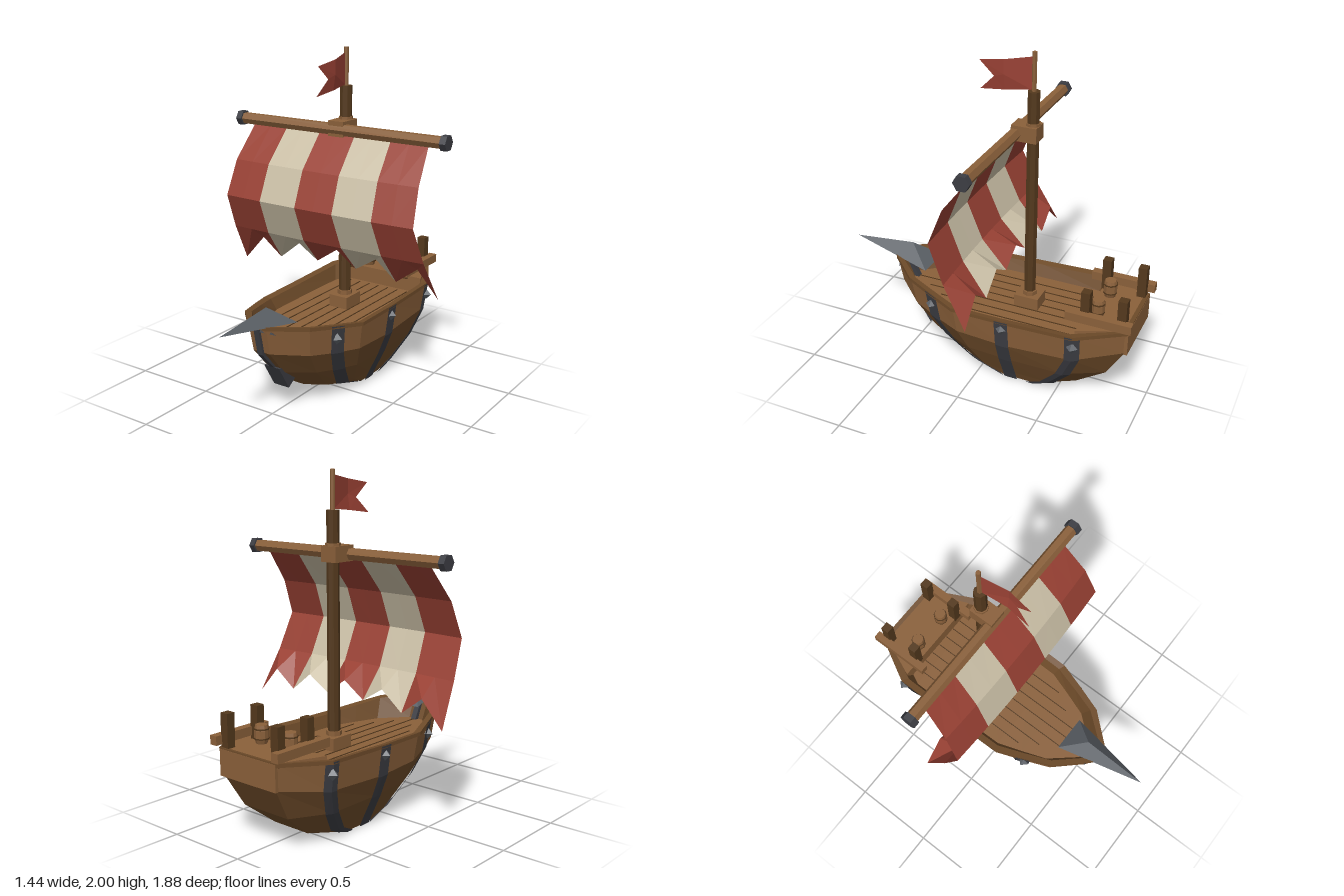
import * as THREE from 'three';

const mat = (name, color, side = THREE.FrontSide) => {
  const m = new THREE.MeshStandardMaterial({ color, flatShading: true, side });
  m.name = name;
  return m;
};

export function createModel() {
  const root = new THREE.Group();
  root.name = 'sailingShip';
  const wood = mat('wood', 0x8a603a);
  const hullWood = mat('hullWood', 0x6f4c2a);
  const darkWood = mat('darkWood', 0x54391d);
  const iron = mat('iron', 0x3d3e44, THREE.DoubleSide);
  const steel = mat('steel', 0x5c6167, THREE.DoubleSide);
  const red = mat('redCloth', 0x994134, THREE.DoubleSide);
  const cream = mat('creamCloth', 0xcabfa6, THREE.DoubleSide);

  const add = (name, geo, material, x = 0, y = 0, z = 0, parent = root) => {
    const m = new THREE.Mesh(geo, material);
    m.name = name;
    m.position.set(x, y, z);
    parent.add(m);
    return m;
  };
  const box = (name, material, w, h, d, x, y, z) =>
    add(name, new THREE.BoxGeometry(w, h, d), material, x, y, z);
  const cyl = (name, material, r, y0, y1, x, z, n = 8) =>
    add(name, new THREE.CylinderGeometry(r, r, y1 - y0, n), material, x, (y0 + y1) / 2, z);

  // Joins successive rows of points with quads
  const loft = (rows, closed) => {
    const pos = [];
    for (let r = 0; r + 1 < rows.length; r++) {
      const A = rows[r], B = rows[r + 1], n = A.length;
      for (let i = 0; i < (closed ? n : n - 1); i++) {
        const j = (i + 1) % n;
        pos.push(...A[i], ...A[j], ...B[i], ...A[j], ...B[j], ...B[i]);
      }
    }
    const g = new THREE.BufferGeometry();
    g.setAttribute('position', new THREE.Float32BufferAttribute(pos, 3));
    g.computeVertexNormals();
    return g;
  };

  // Hull stations at the rim: z, half width, height
  const stations = [
    [-0.91, 0.21, 0.54], [-0.64, 0.35, 0.52], [-0.21, 0.35, 0.505], [0.1, 0.345, 0.5],
    [0.27, 0.285, 0.525], [0.44, 0.22, 0.55], [0.62, 0.06, 0.575],
  ];
  // Hull levels below the rim: stern z, bow z, width scale, height, stern lift, bow lift
  const levels = [
    [-0.9, 0.585, 0.93, 0.32, 0.07, 0.09],
    [-0.79, 0.45, 0.79, 0.19, 0.01, 0.06],
    [-0.6, 0.24, 0.6, 0.05, 0, 0.04],
    [-0.44, -0.05, 0.54, 0, 0, 0],
  ];
  const mid = -0.21;
  const levelZ = ([zs, zb], z) =>
    z < mid ? mid + (z - mid) / -0.7 * (zs - mid) : mid + (z - mid) / 0.83 * (zb - mid);
  const side = stations.map(([z, w, y]) => [w, y, z]);
  const sides = [side, ...levels.map((l) => stations.map(([z, w]) => {
    const d = z < mid ? (mid - z) / 0.7 : (z - mid) / 0.83;
    return [w * l[2], l[3] + (z < mid ? l[4] : l[5]) * d ** 2, levelZ(l, z)];
  }))];
  const ring = (pts) => [...pts, ...pts.map(([x, y, z]) => [-x, y, z]).reverse()];
  const rings = sides.map(ring);
  const flat = (r) => r.map(([, y, z]) => [0, y, z]);
  const shrink = (r, s, y) => r.map(([x, yy, z]) => [x * s, y ?? yy, (z + 0.15) * (s + 0.04) - 0.15]);

  add('upperStrake', loft(rings.slice(0, 2), true), wood);
  add('lowerHull', loft([...rings.slice(1), flat(rings[4])], true), hullWood);
  const deckY = 0.43;
  const lip = rings[0].map(([x, y, z]) => [x * 1.03, y + 0.008, z + Math.sign(z) * 0.006]);
  const lipLow = lip.map(([x, y, z]) => [x, y - 0.022, z]);
  const inner = shrink(rings[0], 0.92);
  const deck = shrink(rings[0], 0.84, deckY);
  add('gunwale', loft([inner, lip, lipLow], true), hullWood);
  add('innerWall', loft([deck, inner], true), hullWood);
  add('deck', loft([flat(deck), deck], true), wood);

  // Plank seams
  for (let i = -3; i <= 3; i++) {
    const end = 0.5 - Math.abs(i) * 0.11;
    box('plankSeam', darkWood, 0.005, 0.004, end + 0.64, i * 0.07, deckY + 0.002, (end - 0.64) / 2);
  }

  // Raised stern deck and transom
  const q = new THREE.Shape([[-0.2, -0.9], [0.2, -0.9], [0.31, -0.64], [-0.31, -0.64]]
    .map((p) => new THREE.Vector2(...p)));
  add('sternDeck', new THREE.ExtrudeGeometry(q, { depth: 0.1, bevelEnabled: false })
    .rotateX(Math.PI / 2), wood, 0, 0.542, 0);
  box('transom', wood, 0.42, 0.15, 0.02, 0, 0.465, -0.908);
  const barrelProfile = [[0, 0], [0.032, 0], [0.041, 0.03], [0.041, 0.075], [0.034, 0.105], [0, 0.105]]
    .map((p) => new THREE.Vector2(...p));

  for (const s of [1, -1]) {
    // Stern rails, posts and barrels
    box('sternRail', wood, 0.048, 0.052, 0.385, s * 0.232, 0.587, -0.75);
    for (const z of [-0.66, -0.875])
      box('railPost', darkWood, 0.052, 0.215, 0.052, s * 0.19, 0.628, z);
    add('barrel', new THREE.LatheGeometry(barrelProfile, 10), wood, s * 0.11, 0.542, -0.705);
    for (const y of [0.566, 0.62]) cyl('barrelHoop', darkWood, 0.0425, y, y + 0.008, s * 0.11, -0.705, 10);

    // Iron straps following the hull, each with a stud
    for (const zc of [-0.64, -0.21, 0.27]) {
      const rows = sides.map((pts, k) => {
        const c = k ? levelZ(levels[k - 1], zc) : zc;
        return [-0.042, 0, 0.042].map((dz) => {
          const z = THREE.MathUtils.clamp(c + dz, pts[0][2], pts[6][2]);
          let i = 0;
          while (i < 5 && pts[i + 1][2] < z) i++;
          const [a, b] = [pts[i], pts[i + 1]], t = (z - a[2]) / (b[2] - a[2]);
          return [s * (a[0] + (b[0] - a[0]) * t + 0.012), a[1] + (b[1] - a[1]) * t, z];
        });
      });
      add('hullStrap', loft(rows, false), iron);
      const stud = add('strapStud', new THREE.ConeGeometry(0.036, 0.035, 4), steel,
        rows[0][1][0] + s * 0.006, 0.45, zc);
      stud.rotation.z = -s * Math.PI / 2;
    }

    // Bow claws
    const claw = add('bowClaw', new THREE.ConeGeometry(0.025, 0.09, 4), iron, s * 0.06, 0.545, 0.595);
    claw.rotation.set(0.5, 0, -s * 1.9);
  }

  // Bow spike
  const [L, R, A, T, B] = [[0.11, 0.55, 0.4], [-0.11, 0.55, 0.4], [0, 0.66, 0.54], [0, 0.62, 0.935], [0, 0.55, 0.56]];
  const spike = new THREE.BufferGeometry();
  spike.setAttribute('position', new THREE.Float32BufferAttribute(
    [[A, T, L], [A, R, T], [A, L, R], [B, L, T], [B, T, R], [B, R, L]].flat(2), 3));
  spike.computeVertexNormals();
  add('bowSpike', spike, steel);

  // Iron plate on the stem
  const prow = (name, pts, w) => {
    const shape = new THREE.Shape(pts.map((p) => new THREE.Vector2(...p)));
    add(name, new THREE.ExtrudeGeometry(shape, { depth: w, bevelEnabled: false })
      .rotateY(-Math.PI / 2).translate(w / 2, 0, 0), iron);
  };
  prow('ramPlate', [[0.5, 0.29], [0.41, 0.14], [0.35, 0.18], [0.42, 0.28]], 0.105);
  prow('stemStrap', [[0.635, 0.57], [0.6, 0.4], [0.5, 0.29], [0.42, 0.28], [0.56, 0.55]], 0.035);

  // Mast
  const mz = -0.243;
  box('mastStep', wood, 0.125, 0.075, 0.15, 0, deckY + 0.037, mz);
  cyl('mastCollar', wood, 0.045, 0.5, 0.53, 0, mz);
  cyl('mast', darkWood, 0.036, deckY, 1.78, 0, mz);
  cyl('topPole', wood, 0.014, 1.77, 2, 0, mz, 6);
  box('yardYoke', wood, 0.105, 0.09, 0.15, 0, 1.54, -0.207);
  cyl('yokeCollar', wood, 0.043, 1.58, 1.6, 0, mz);

  // Yard with iron end caps
  const yard = cyl('yard', wood, 0.036, -0.7, 0.7, 0, -0.155, 6);
  yard.rotation.z = Math.PI / 2;
  yard.position.y = 1.535;
  for (const s of [1, -1]) {
    const cap = cyl('yardCap', iron, 0.047, 0, 0.038, s * 0.7, -0.155, 6);
    cap.rotation.z = Math.PI / 2;
    cap.position.y = 1.535;
  }

  // Billowing striped sail with a jagged hem: rows of height, z, half width
  const sailRows = [[1.51, -0.15, 0.6], [1.31, 0.02, 0.628], [1.1, 0.1, 0.645], [0.88, 0.005, 0.665]];
  const sailPoint = (r, c) => {
    const u = c / 5 - 1;
    if (r < 4) {
      const [y, z, w] = sailRows[r];
      return [u * w, y, z - (r ? 0.018 * u * u : 0)];
    }
    return [u * 0.69, c % 2 ? 0.785 + 0.02 * (1 - Math.abs(u)) : 0.715 - 0.08 * u * u, -0.15];
  };
  for (let k = 0; k < 5; k++) {
    const rows = [0, 1, 2, 3, 4].map((r) => [0, 1, 2].map((c) => sailPoint(r, k * 2 + c)));
    add('sailStripe', loft(rows, false), k % 2 ? cream : red);
  }

  // Swallow-tailed pennant
  add('pennant', loft([
    [[0, 1.97, -0.23], [0.034, 1.945, -0.08], [0.02, 1.92, 0.07]],
    [[0, 1.88, -0.23], [0.034, 1.86, -0.08], [0.026, 1.84, -0.02]],
    [[0, 1.785, -0.23], [0.02, 1.77, -0.08], [0.008, 1.75, 0.07]],
  ], false), red);

  return root;
}
